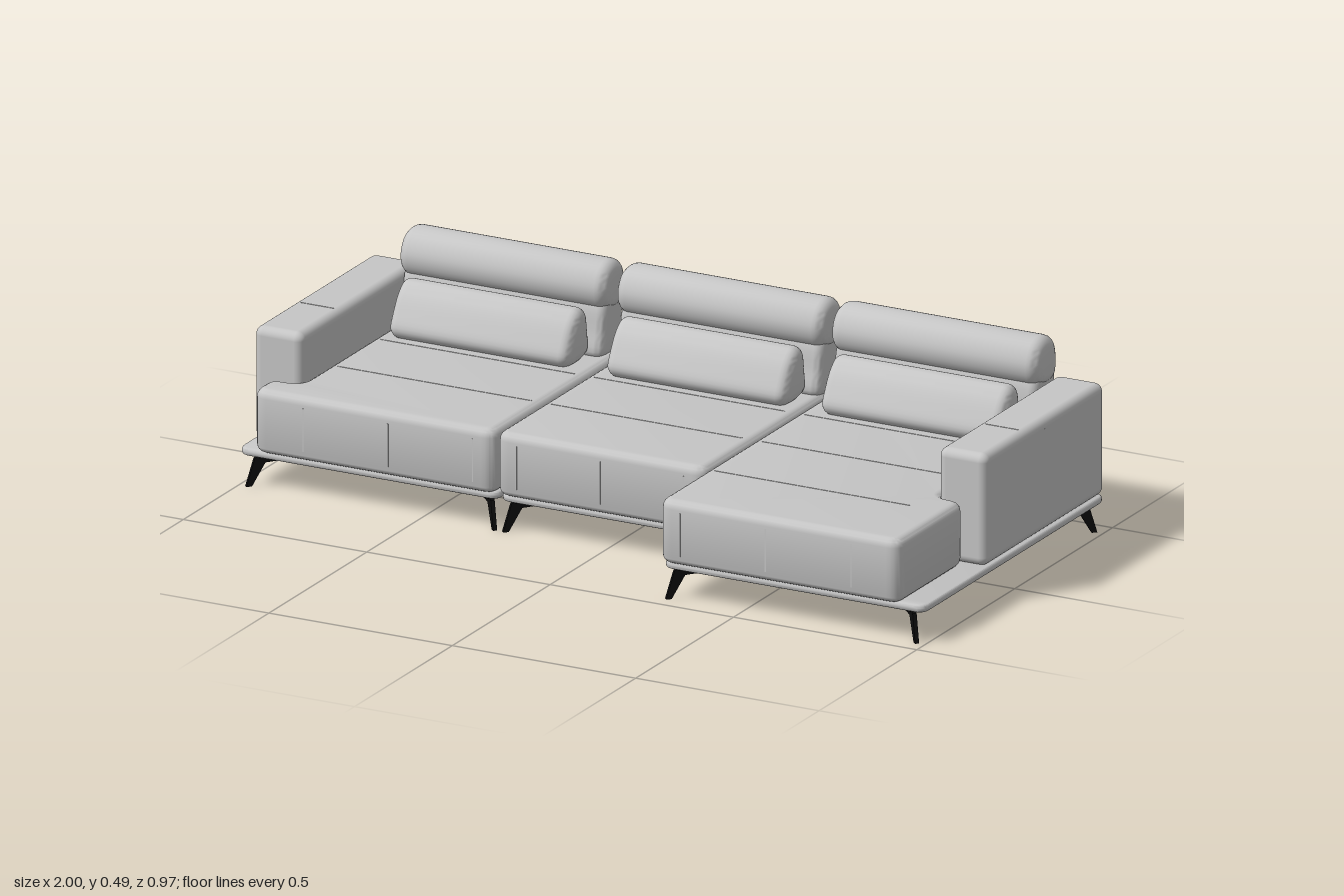
import * as THREE from 'three';
import { toCreasedNormals } from 'three/addons/utils/BufferGeometryUtils.js';
import { RoundedBoxGeometry } from 'three/addons/geometries/RoundedBoxGeometry.js';

const upholstery = new THREE.MeshStandardMaterial({ color: 0xc6c6c6 });
upholstery.name = 'light grey upholstery';
const metal = new THREE.MeshStandardMaterial({ color: 0x0c0c0c });
metal.name = 'black metal';

function addMesh(parent, name, geometry, material = upholstery) {
  const mesh = new THREE.Mesh(geometry, material);
  mesh.name = name;
  parent.add(mesh);
  return mesh;
}

// Polygon with softened corners
function roundedPolygon(points, r) {
  const pts = points.map(([x, y]) => new THREE.Vector2(x, y));
  const shape = new THREE.Shape();
  pts.forEach((p, i) => {
    const prev = pts[(i + pts.length - 1) % pts.length];
    const next = pts[(i + 1) % pts.length];
    const a = p.clone().add(prev.clone().sub(p).setLength(r));
    const b = p.clone().add(next.clone().sub(p).setLength(r));
    if (i === 0) shape.moveTo(a.x, a.y);
    else shape.lineTo(a.x, a.y);
    shape.quadraticCurveTo(p.x, p.y, b.x, b.y);
  });
  shape.closePath();
  return shape;
}

function extrude(shape, length, bevel) {
  const g = new THREE.ExtrudeGeometry(shape, {
    depth: length - 2 * bevel, bevelEnabled: true, bevelSize: bevel, bevelThickness: bevel,
    bevelOffset: -bevel, bevelSegments: 5, curveSegments: 6,
  });
  g.translate(0, 0, bevel);
  return g;
}

// Floor-plan outline (x, z) raised from y0 to y1
function slab(plan, y0, y1, corner, bevel) {
  const shape = roundedPolygon(plan.map(([x, z]) => [x, -z]), corner);
  const g = extrude(shape, y1 - y0, bevel).rotateX(-Math.PI / 2).translate(0, y0, 0);
  return toCreasedNormals(g, 0.6);
}

// Smooth side profile (z, y) swept across x
function cushion(profile, width, bevel) {
  const curve = new THREE.CatmullRomCurve3(
    profile.map(([z, y]) => new THREE.Vector3(-z, y, 0)), true);
  const shape = new THREE.Shape(curve.getPoints(36).slice(0, -1).map(p => new THREE.Vector2(p.x, p.y)));
  const g = extrude(shape, width, bevel).rotateY(Math.PI / 2).translate(-width / 2, 0, 0);
  return toCreasedNormals(g, 0.7);
}

const headProfile = [[-0.468, 0.375], [-0.478, 0.43], [-0.462, 0.474], [-0.42, 0.49],
  [-0.376, 0.475], [-0.354, 0.43], [-0.366, 0.388], [-0.41, 0.365]];
const backProfile = [[-0.46, 0.252], [-0.468, 0.32], [-0.474, 0.39], [-0.43, 0.42],
  [-0.378, 0.395], [-0.36, 0.32], [-0.352, 0.262], [-0.4, 0.247]];
const lumbarProfile = [[-0.355, 0.268], [-0.357, 0.33], [-0.345, 0.378], [-0.315, 0.392],
  [-0.28, 0.37], [-0.25, 0.325], [-0.234, 0.283], [-0.255, 0.258]];

// Backrest, head roll, lumbar pillow and rear panel
function createBack(x) {
  const back = new THREE.Group();
  back.name = 'backrest';
  back.position.x = x;
  addMesh(back, 'backCushion', cushion(backProfile, 0.555, 0.022));
  addMesh(back, 'headRoll', cushion(headProfile, 0.565, 0.028));
  addMesh(back, 'lumbarPillow', cushion(lumbarProfile, 0.49, 0.025));
  const panel = addMesh(back, 'rearPanel', new RoundedBoxGeometry(0.44, 0.15, 0.012, 3, 0.005));
  panel.position.set(0, 0.342, -0.474);
  panel.rotation.x = -0.09;
  return back;
}

// Splayed blade leg: foot at (x, z), leaning outward along (sx, sz)
function createLeg(x, z, sx, sz) {
  const leg = new THREE.Group();
  leg.name = 'leg';
  const blade = new THREE.Shape([[0, 0], [-0.014, 0], [-0.048, 0.058], [-0.085, 0.06],
    [-0.085, 0.075], [-0.03, 0.077], [-0.021, 0.07]].map(p => new THREE.Vector2(...p)));
  const g = new THREE.ExtrudeGeometry(blade, { depth: 0.01, bevelEnabled: false });
  addMesh(leg, 'legBlade', g.translate(0, 0, -0.005), metal);
  addMesh(leg, 'mountPlate', new THREE.BoxGeometry(0.055, 0.007, 0.024), metal)
    .position.set(-0.058, 0.076, 0);
  leg.position.set(x, 0, z);
  leg.rotation.y = Math.atan2(-sz, sx);
  return leg;
}

const rect = (x0, x1, z0, z1) => [[x0, z0], [x1, z0], [x1, z1], [x0, z1]];

// Thin stitched seam on a face
function addSeam(parent, x, y, z, sx, sy, sz) {
  addMesh(parent, 'seam', new THREE.BoxGeometry(sx, sy, sz)).position.set(x, y, z);
}

export function createModel() {
  const sofa = new THREE.Group();
  sofa.name = 'sectionalSofa';

  const modules = [
    { name: 'rightSeatModule', x0: -1, x1: -0.292, front: 0.24, backX: -0.592,
      seat: [[-0.87, -0.462], [-0.292, -0.462], [-0.292, 0.24], [-0.95, 0.24], [-0.95, 0.146], [-0.87, 0.146]] },
    { name: 'middleSeatModule', x0: -0.288, x1: 0.282, front: 0.24, backX: 0,
      seat: rect(-0.288, 0.282, -0.462, 0.24) },
    { name: 'chaiseModule', x0: 0.286, x1: 1, front: 0.483, backX: 0.585,
      seat: [[0.286, -0.462], [0.87, -0.462], [0.87, 0.146], [0.942, 0.146], [0.942, 0.483], [0.286, 0.483]] },
  ];

  for (const m of modules) {
    const unit = new THREE.Group();
    unit.name = m.name;
    sofa.add(unit);

    // Plinth and seat
    addMesh(unit, 'basePlinth', slab(rect(m.x0, m.x1, -0.465, m.front - 0.02), 0.078, 0.098, 0.03, 0.008));
    addMesh(unit, 'seat', slab(m.seat, 0.097, 0.261, 0.036, 0.022));
    unit.add(createBack(m.backX));

    // Seams across the seat top, the front and the rear
    const left = Math.max(m.x0, -0.87), right = Math.min(m.x1, 0.87);
    const mid = (left + right) / 2, width = right - left;
    for (const z of [-0.22, 0, 0.24]) {
      if (z < m.front - 0.05) addSeam(unit, mid, 0.261, z, width - 0.05, 0.002, 0.003);
    }
    for (const t of [-0.4, 0, 0.4]) {
      addSeam(unit, mid + t * width, 0.178, m.front, 0.003, 0.11, 0.002);
    }
    for (const t of [-0.25, 0, 0.25]) {
      addSeam(unit, mid + t * width, 0.178, -0.462, 0.003, 0.11, 0.002);
    }

    // Four legs per module
    for (const sx of [-1, 1]) {
      const edge = sx < 0 ? m.x0 : m.x1;
      const x = edge - sx * (Math.abs(edge) === 1 ? 0.02 : 0.008);
      unit.add(createLeg(x, m.front - 0.022, sx, 1), createLeg(x, -0.457, sx, -1));
    }
  }

  // Armrests
  for (const side of [-1, 1]) {
    const arm = new THREE.Group();
    arm.name = side < 0 ? 'rightArmrest' : 'leftArmrest';
    addMesh(arm, 'armBody', new RoundedBoxGeometry(0.132, 0.286, 0.61, 5, 0.022))
      .position.set(side * 0.933, 0.24, -0.16);
    addSeam(arm, side * 0.999, 0.24, -0.155, 0.002, 0.24, 0.003);
    addSeam(arm, side * 0.933, 0.383, -0.06, 0.09, 0.002, 0.003);
    sofa.add(arm);
  }
  return sofa;
}
